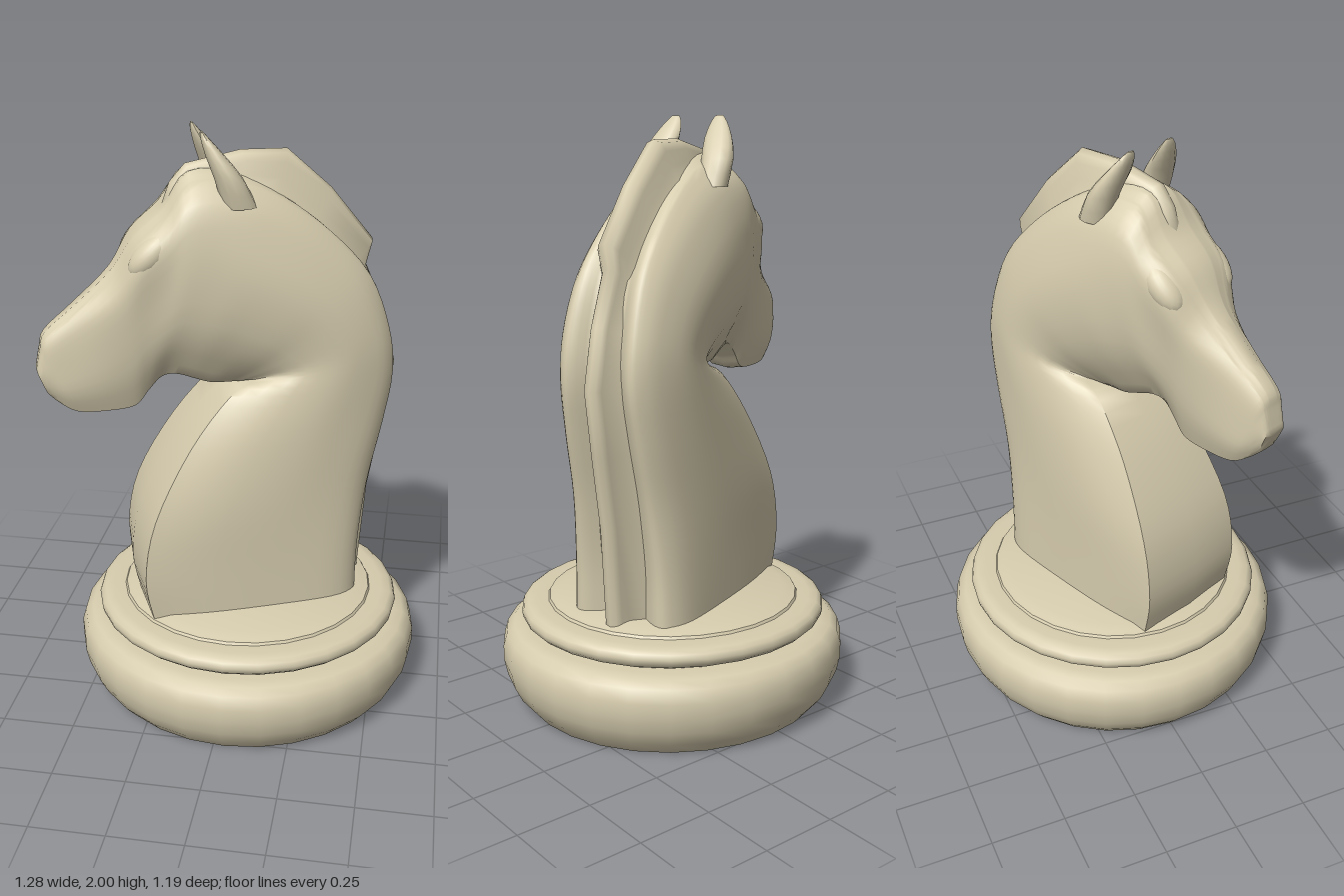
import * as THREE from 'three';
import { toCreasedNormals } from 'three/addons/utils/BufferGeometryUtils.js';

// Skin a list of closed rings (arrays of Vector3), with both ends capped
function loft(rings, crease) {
  const m = rings[0].length, n = rings.length, pos = [], idx = [];
  rings.forEach(r => r.forEach(p => pos.push(p.x, p.y, p.z)));
  for (let i = 0; i < n - 1; i++) for (let j = 0; j < m; j++) {
    const k = (j + 1) % m, a = i * m + j, b = i * m + k, c = a + m, d = b + m;
    idx.push(a, b, c, b, d, c);
  }
  [0, n - 1].forEach((row, e) => {
    const mid = new THREE.Vector3();
    rings[row].forEach(p => mid.addScaledVector(p, 1 / m));
    const centre = pos.length / 3;
    pos.push(mid.x, mid.y, mid.z);
    for (let j = 0; j < m; j++) {
      const a = row * m + j, b = row * m + (j + 1) % m;
      if (e) idx.push(centre, a, b); else idx.push(centre, b, a);
    }
  });
  const g = new THREE.BufferGeometry();
  g.setAttribute('position', new THREE.Float32BufferAttribute(pos, 3));
  g.setIndex(idx);
  return toCreasedNormals(g, crease);
}

// Smoothly interpolate rows of numbers
function smoothRows(rows, steps) {
  const out = [], last = rows.length - 1;
  for (let i = 0; i < last; i++) {
    const p = rows[Math.max(i - 1, 0)], q = rows[i], r = rows[i + 1], s = rows[Math.min(i + 2, last)];
    for (let k = 0; k < steps; k++) {
      const t = k / steps;
      out.push(q.map((_, c) => 0.5 * (2 * q[c] + (r[c] - p[c]) * t
        + (2 * p[c] - 5 * q[c] + 4 * r[c] - s[c]) * t * t
        + (3 * q[c] - p[c] - 3 * r[c] + s[c]) * t * t * t)));
    }
  }
  out.push(rows[last]);
  return out;
}

// Front point, back point, five half-widths from front to back, depth of the back groove
const neckRows = [
  [-.38, .36, .365, .36, .21, .23, .23, .22, .185, .05],
  [-.405, .52, .37, .55, .215, .23, .23, .215, .18, .05],
  [-.365, .73, .4, .78, .205, .23, .23, .205, .165, .05],
  [-.235, .97, .45, 1.0, .17, .215, .225, .195, .155, .05],
  [-.09, 1.14, .48, 1.18, .14, .2, .22, .185, .145, .05],
  [0, 1.18, .46, 1.34, .12, .195, .215, .18, .14, .045],
  [-.05, 1.17, .39, 1.52, .09, .185, .215, .175, .13, .035],
  [-.09, 1.165, .255, 1.67, .08, .185, .215, .17, .12, .02],
  [-.14, 1.165, .1, 1.785, .075, .18, .21, .165, .11, .005],
];
const headRows = [
  [-.19, 1.18, -.05, 1.845, .07, .175, .2, .165, .105, -.01],
  [-.25, 1.2, -.2, 1.845, .065, .155, .185, .165, .105, -.02],
  [-.3, 1.195, -.28, 1.75, .06, .135, .16, .165, .125, -.01],
  [-.345, 1.15, -.375, 1.665, .06, .11, .135, .15, .115, -.01],
  [-.39, 1.1, -.45, 1.55, .06, .095, .11, .11, .07, -.01],
  [-.48, 1.09, -.57, 1.44, .06, .085, .085, .075, .055, -.01],
  [-.58, 1.095, -.67, 1.36, .055, .075, .07, .06, .045, -.005],
  [-.64, 1.13, -.69, 1.31, .045, .06, .06, .05, .04, 0],
  [-.675, 1.16, -.705, 1.24, .03, .04, .045, .045, .035, 0],
];

function bodyRing([fu, fy, bu, by, a, b, c, d, e, groove]) {
  const g = 1 - groove / Math.hypot(bu - fu, by - fy);
  const at = (t, w) => new THREE.Vector3(fu + (bu - fu) * t, fy + (by - fy) * t, w);
  const side = new THREE.SplineCurve([[.01, a], [.28, b], [.6, c], [.86, d], [.975, e], [1, e * 0.75], [g + .01, e * 0.4]]
    .map(p => new THREE.Vector2(...p))).getPoints(20).map(p => [p.x, p.y]);
  return [at(-0.01, 0), ...side.map(p => at(...p)), at(g, 0),
    ...side.reverse().map(([t, w]) => at(t, -w))];
}

// Outer point, inner point, outer half-width, inner half-width
const maneRows = [
  [-.285, 1.74, -.25, 1.66, .025, .06],
  [-.25, 1.83, -.2, 1.72, .032, .075],
  [-.2, 1.885, -.14, 1.76, .036, .085],
  [-.02, 1.92, 0, 1.77, .038, .095],
  [.13, 1.917, .07, 1.74, .038, .1],
  [.28, 1.785, .18, 1.63, .038, .105],
  [.425, 1.61, .31, 1.5, .038, .105],
  [.405, 1.53, .33, 1.46, .032, .09],
  [.48, 1.36, .385, 1.32, .03, .1],
  [.525, 1.17, .41, 1.17, .03, .1],
  [.49, .95, .38, .95, .03, .1],
  [.445, .7, .33, .7, .03, .105],
  [.42, .36, .29, .36, .03, .105],
];
// Rounded ridge flaring out at its foot
function maneRing([ou, oy, iu, iy, ow, iw]) {
  const half = [[-.03, 0], [.03, .7], [.18, 1.05], [.45, 1.3]].map(([t, k]) => [t, ow * k]);
  half.push([.75, iw * .75], [1, iw]);
  const at = ([t, w]) => new THREE.Vector3(ou + (iu - ou) * t, oy + (iy - oy) * t, w);
  return [...half.map(at), ...half.slice(1).reverse().map(([t, w]) => at([t, -w]))];
}

export function createModel() {
  const group = new THREE.Group();
  const ivory = new THREE.MeshStandardMaterial({ color: 0xd6ccae });
  ivory.name = 'ivory';
  const add = (parent, name, geometry) => {
    const mesh = new THREE.Mesh(geometry, ivory);
    mesh.name = name;
    parent.add(mesh);
    return mesh;
  };

  // Turned round base: bulging foot, rounded ring and a raised disc
  const profile = [[0, 0], [.535, 0], [.573, .045], [.598, .095], [.61, .15], [.61, .2], [.597, .245], [.57, .267],
    [.53, .272], [.495, .274], [.497, .28], [.522, .287], [.537, .301], [.541, .318], [.535, .335], [.52, .346],
    [.49, .35], [.447, .351], [.442, .36], [.425, .364], [.395, .373], [0, .373]].map(p => new THREE.Vector2(...p));
  const base = add(group, 'base', toCreasedNormals(new THREE.LatheGeometry(profile, 28), 0.8));
  base.position.x = 0.036;
  base.scale.z = 0.972;

  // The horse is turned a little on its base
  const horse = new THREE.Group();
  horse.name = 'horse';
  horse.position.x = 0.03;
  horse.rotation.y = 0.38;
  group.add(horse);

  add(horse, 'neckAndHead', loft(smoothRows([...neckRows, ...headRows], 4).map(bodyRing), 0.85));
  add(horse, 'mane', loft(maneRows.map(maneRing), 1.1));

  // Ears and brows, mirrored
  for (const s of [1, -1]) {
    const earRows = [[-.05, 1.77, .122, .045, .055], [-.085, 1.86, .118, .056, .045], [-.125, 1.93, .1, .05, .029],
      [-.153, 1.98, .088, .03, .013], [-.162, 2, .084, .014, .004]];
    const ear = smoothRows(earRows, 2).map(([u, y, w, rw, ru]) => Array.from({ length: 12 }, (_, j) => {
      const t = j / 12 * Math.PI * 2;
      return new THREE.Vector3(u - Math.cos(t) * ru, y, s * w + Math.sin(t) * rw);
    }));
    add(horse, s > 0 ? 'leftEar' : 'rightEar', loft(ear, 1));

    const brow = add(horse, s > 0 ? 'leftBrow' : 'rightBrow', new THREE.SphereGeometry(1, 20, 14));
    brow.scale.set(.1, .05, .055);
    brow.position.set(-.325, 1.635, s * .108);
    brow.rotation.z = 0.75;
  }
  return group;
}
